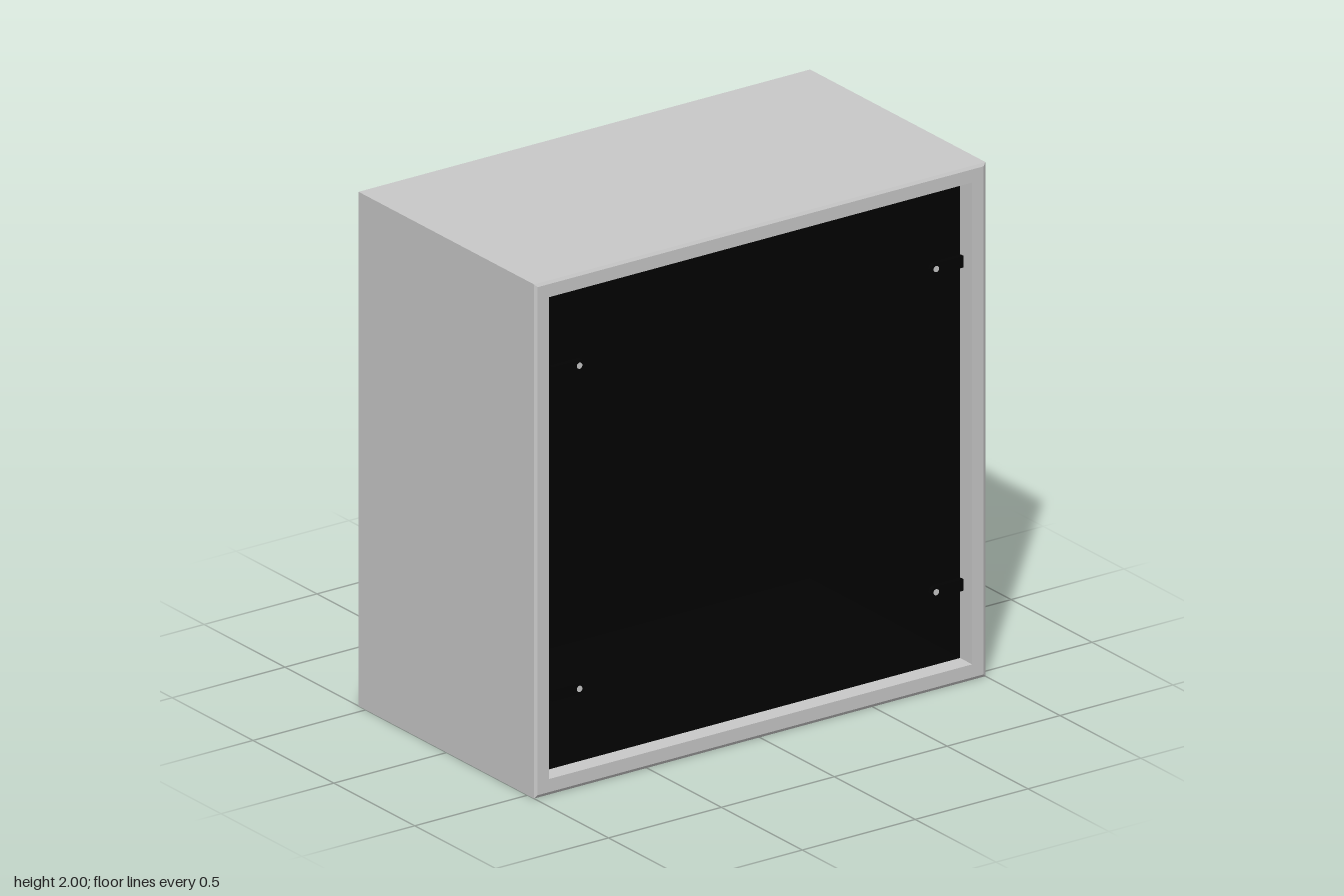
import * as THREE from 'three';

const grey = new THREE.MeshStandardMaterial({ color: 0xcccccc, flatShading: true });
const black = new THREE.MeshStandardMaterial({ color: 0x020202, flatShading: true });
const pinGrey = new THREE.MeshStandardMaterial({ color: 0xcccccc });

const BACK = -0.545, FRONT = 0.545, LIP_BACK = 0.47;
const INNER = 0.937, INNER_BACK = -0.46;

// Sweeps a [half width, z] profile around a square with its axis along z.
function squareSweep(name, profile, material) {
  const points = profile.map(([r, z]) => new THREE.Vector2(r * Math.SQRT2, z));
  const geometry = new THREE.LatheGeometry(points, 4, Math.PI / 4)
    .rotateX(Math.PI / 2)
    .toNonIndexed();
  geometry.computeVertexNormals();
  const mesh = new THREE.Mesh(geometry, material);
  mesh.name = name;
  mesh.position.y = 1;
  return mesh;
}

// Black arm just inside the opening, with a small flush pin facing forward.
function createClip(side, y) {
  const clip = new THREE.Group();
  clip.name = (side > 0 ? 'left' : 'right') + (y > 1 ? 'Upper' : 'Lower') + 'Clip';

  const arm = new THREE.Mesh(new THREE.BoxGeometry(0.125, 0.046, 0.015), black);
  arm.name = 'clipArm';
  arm.position.set(side * 0.8475, y, 0.52);

  const tip = new THREE.Mesh(new THREE.CylinderGeometry(0.023, 0.023, 0.015, 20), black);
  tip.name = 'clipTip';
  tip.rotation.x = Math.PI / 2;
  tip.position.set(side * 0.79, y, 0.52);

  const pin = new THREE.Mesh(new THREE.CylinderGeometry(0.012, 0.012, 0.012, 16), pinGrey);
  pin.name = 'clipPin';
  pin.rotation.x = Math.PI / 2;
  pin.position.set(side * 0.79, y, 0.523);

  clip.add(arm, tip, pin);
  return clip;
}

export function createModel() {
  const model = new THREE.Group();
  model.name = 'cabinet';

  // Outer shell with a closed back
  model.add(squareSweep('outerShell', [[0, BACK], [1, BACK], [1, LIP_BACK]], grey));

  // Front frame with a finely chamfered outer edge and a short lip inside
  model.add(squareSweep('frontFrame', [
    [1, LIP_BACK], [1, FRONT - 0.006], [0.988, FRONT],
    [INNER, FRONT], [INNER, LIP_BACK],
  ], grey));

  // Black lining flush with the lip, facing inward
  model.add(squareSweep('innerLining', [
    [INNER, LIP_BACK], [INNER, INNER_BACK], [0, INNER_BACK],
  ], black));

  // Four clips, mirrored about the centre
  for (const side of [-1, 1]) {
    for (const y of [0.373, 1.63]) model.add(createClip(side, y));
  }
  return model;
}
